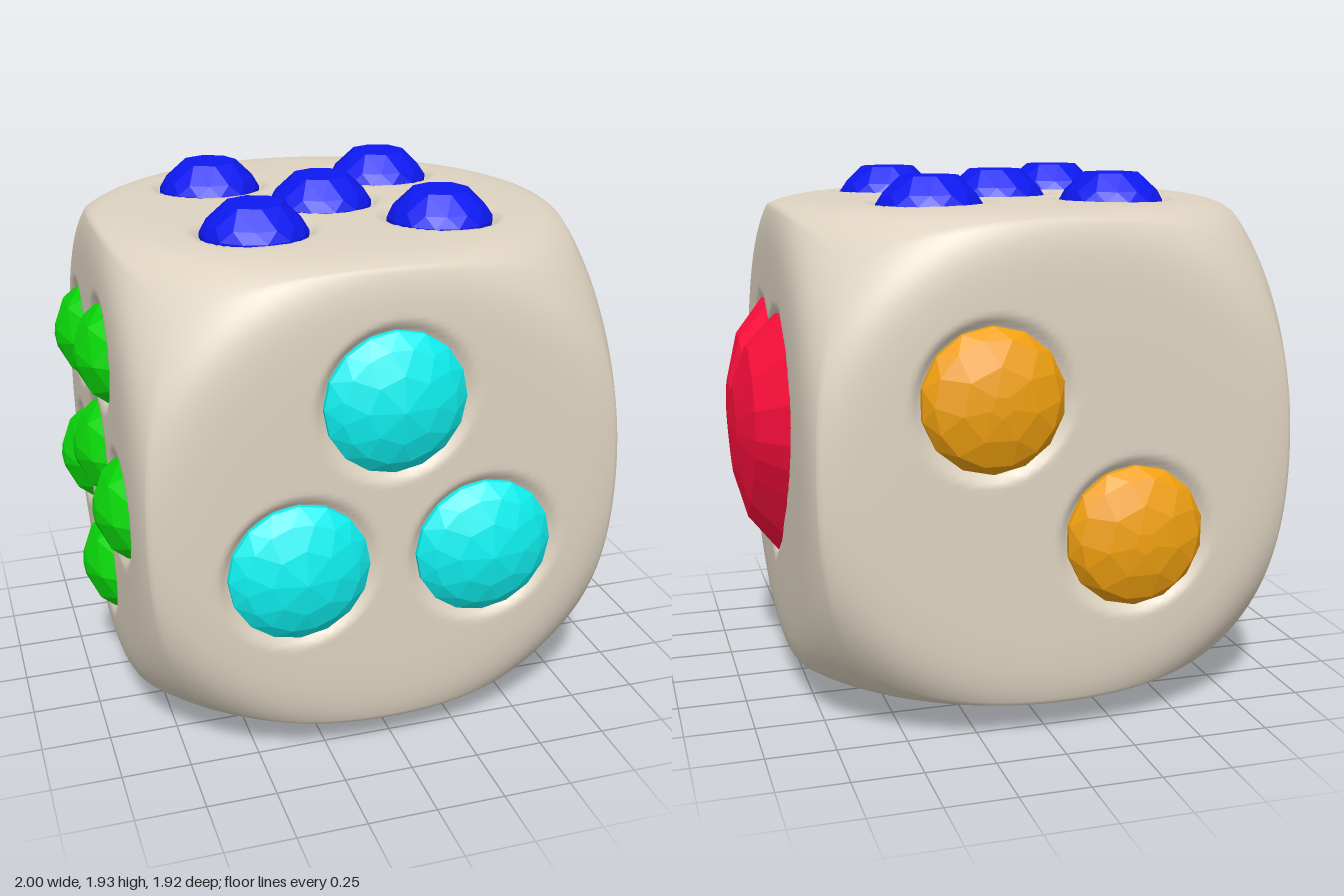
import * as THREE from 'three';
import { mergeVertices } from 'three/addons/utils/BufferGeometryUtils.js';
import { ConvexGeometry } from 'three/addons/geometries/ConvexGeometry.js';

const HALF = 0.875; // half the side of the die
const Q = Math.PI / 2;

// Heart outline around its own centre: right half, then mirrored
const heartHalf = [[0, 0.36], [0.11, 0.43], [0.25, 0.44], [0.39, 0.32], [0.46, 0.16], [0.445, 0.01],
  [0.4, -0.09], [0.315, -0.21], [0.16, -0.39], [0, -0.5]];
const heart = [...heartHalf, ...heartHalf.slice(1, -1).reverse().map(([x, y]) => [-x, y])];

// Each gem cut: rings of [radius, height, sides, turn in half steps]
const cuts = {
  cyan: [[0.25, -0.06, 16, 0], [0.25, -0.01, 16, 0], [0.2, 0.032, 16, 1], [0.12, 0.066, 8, 0], [0, 0.088, 1, 0]],
  orange: [[0.25, -0.06, 14, 0], [0.25, -0.01, 14, 0], [0.215, 0.036, 14, 1], [0.13, 0.072, 7, 0], [0.04, 0.086, 5, 1]],
  green: [[0.18, -0.06, 12, 0], [0.18, -0.01, 12, 0], [0.14, 0.042, 6, 1], [0.05, 0.084, 6, 0], [0, 0.092, 1, 0]],
  blue: [[0.19, -0.06, 14, 0], [0.19, -0.01, 14, 0], [0.168, 0.028, 14, 1], [0.105, 0.09, 8, 0]],
  purple: [[0.2, -0.06, 12, 0], [0.2, -0.01, 12, 0], [0.15, 0.04, 12, 1], [0.07, 0.08, 6, 0], [0, 0.09, 1, 0]],
};

// Faces of the die: rotation turns local +z outward; pips are in local x, y
const faces = [
  { name: 'frontGems', cut: 'cyan', color: 0x0ff0f0, rot: [0, 0, 0], pips: [[0, 0.39], [-0.335, -0.19], [0.335, -0.19]] },
  { name: 'backGems', cut: 'orange', color: 0xf0a010, rot: [0, 2 * Q, 0], pips: [[-0.255, 0.255], [0.255, -0.25]] },
  { name: 'topGems', cut: 'blue', color: 0x0d18f0, rot: [-Q, 0, 0],
    pips: [[0, 0], [-0.34, 0.342], [0.34, 0.342], [-0.34, -0.342], [0.34, -0.342]] },
  { name: 'bottomGems', cut: 'purple', color: 0xb00cb8, rot: [Q, 0, 0],
    pips: [[-0.3, 0.305], [0.3, 0.305], [-0.3, -0.305], [0.3, -0.305]] },
  { name: 'greenGems', cut: 'green', color: 0x0ad80a, rot: [0, -Q, 0],
    pips: [[0, -0.01], [0.19, 0.425], [-0.36, 0.325], [0.45, -0.06], [-0.43, -0.215], [0.05, -0.465]] },
  { name: 'heartGem', cut: 'heart', color: 0xff0f3c, rot: [0, Q, 0], pips: [[0, 0.035]] },
];

function gemGeometry(rings) {
  const pts = [];
  for (const [r, h, n, turn] of rings) {
    for (let i = 0; i < n; i++) {
      const a = ((i + turn / 2) / n) * Math.PI * 2 + Q;
      pts.push(new THREE.Vector3(r * Math.cos(a), r * Math.sin(a), h));
    }
  }
  return new ConvexGeometry(pts);
}

// Shrinking copies of the heart outline, joined into facets
function heartGeometry() {
  const loops = [[1, -0.06], [1, -0.01], [0.72, 0.1], [0.36, 0.15], [0, 0.161]];
  const pos = [];
  const n = heart.length;
  const at = (l, i) => [heart[i % n][0] * loops[l][0], heart[i % n][1] * loops[l][0], loops[l][1]];
  for (let l = 0; l < loops.length - 1; l++) {
    for (let i = 0; i < n; i++) {
      const a = at(l, i), b = at(l, i + 1), c = at(l + 1, i + 1), d = at(l + 1, i);
      pos.push(...a, ...c, ...b);
      if (l < loops.length - 2) pos.push(...a, ...d, ...c);
    }
  }
  const g = new THREE.BufferGeometry();
  g.setAttribute('position', new THREE.Float32BufferAttribute(pos, 3));
  g.computeVertexNormals();
  return g;
}

// Approximate distance outside the heart outline
function heartDistance(x, y) {
  for (let i = 0; i < heart.length; i++) {
    const [ax, ay] = heart[i], [bx, by] = heart[(i + 1) % heart.length];
    const det = ax * by - ay * bx;
    const u = (x * by - y * bx) / det, v = (ax * y - ay * x) / det;
    if (u >= -1e-6 && v >= -1e-6) return (u + v - 1) * 0.43;
  }
  return -0.4;
}

// Cube softly trimmed by a sphere, with a shallow seat under every gem
function bodyGeometry() {
  let g = new THREE.BoxGeometry(2, 2, 2, 84, 84, 84);
  g.deleteAttribute('uv');
  g.deleteAttribute('normal');
  g = mergeVertices(g, 1e-4);
  const p = g.attributes.position;
  const v = new THREE.Vector3();
  const turns = faces.map((f) => new THREE.Quaternion().setFromEuler(new THREE.Euler(...f.rot)));
  const backTurns = turns.map((q) => q.clone().invert());
  for (let i = 0; i < p.count; i++) {
    v.fromBufferAttribute(p, i).normalize();
    const cube = HALF / Math.max(Math.abs(v.x), Math.abs(v.y), Math.abs(v.z));
    v.multiplyScalar(Math.pow(cube ** -24 + 1.22 ** -24, -1 / 24));
    faces.forEach((f, k) => {
      v.applyQuaternion(backTurns[k]);
      if (v.z > 0.8) {
        let near = 1;
        for (const [x, y] of f.pips) {
          const d = f.cut === 'heart' ? heartDistance(v.x - x, v.y - y)
            : Math.hypot(v.x - x, v.y - y) - cuts[f.cut][0][0];
          near = Math.min(near, d);
        }
        v.z -= 0.035 * (1 - THREE.MathUtils.smoothstep(near, -0.015, 0.035));
      }
      v.applyQuaternion(turns[k]);
    });
    p.setXYZ(i, v.x, v.y, v.z);
  }
  g.computeVertexNormals();
  return g;
}

export function createModel() {
  const model = new THREE.Group();
  model.name = 'gemDie';
  const die = new THREE.Group();
  die.name = 'die';
  die.position.set(-0.035, 0.965, 0);
  model.add(die);

  const body = new THREE.Mesh(bodyGeometry(), new THREE.MeshStandardMaterial({ color: 0xded3c1 }));
  body.name = 'body';
  die.add(body);

  // Gems on each face
  for (const f of faces) {
    const group = new THREE.Group();
    group.name = f.name;
    group.rotation.set(...f.rot);
    const geometry = f.cut === 'heart' ? heartGeometry() : gemGeometry(cuts[f.cut]);
    const material = new THREE.MeshStandardMaterial({ color: f.color, flatShading: true });
    f.pips.forEach(([x, y], i) => {
      const gem = new THREE.Mesh(geometry, material);
      gem.name = `${f.cut}Gem${i + 1}`;
      gem.position.set(x, y, HALF);
      group.add(gem);
    });
    die.add(group);
  }
  return model;
}
